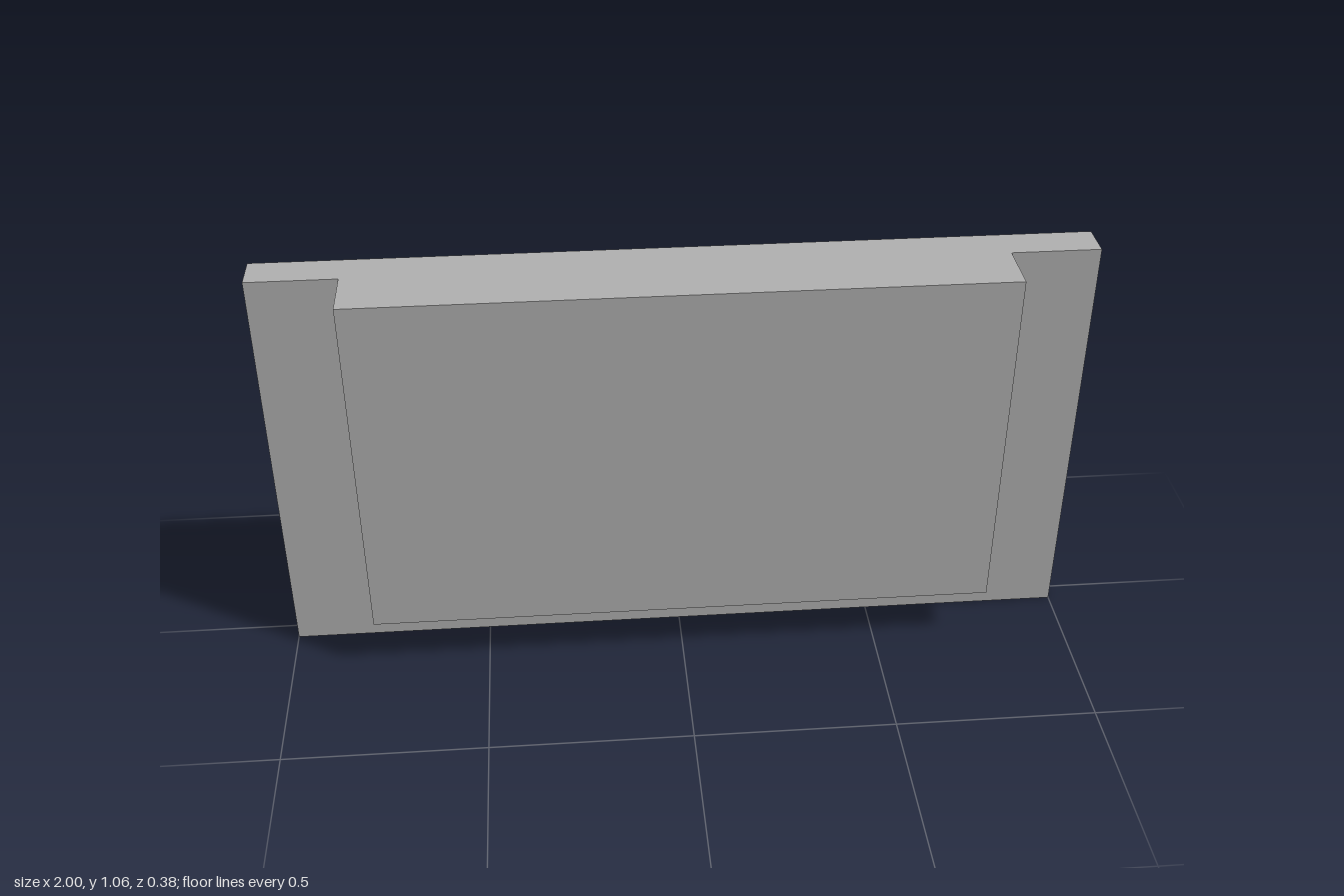
import * as THREE from 'three';

export function createModel() {
  const group = new THREE.Group();
  const grey = new THREE.MeshStandardMaterial({ color: 0xb2b2b2 });
  grey.name = 'plain grey';

  // Box spanning -halfWidth..halfWidth in x, y0..y1 and z0..z1
  const addSlab = (name, halfWidth, y0, y1, z0, z1) => {
    const mesh = new THREE.Mesh(new THREE.BoxGeometry(halfWidth * 2, y1 - y0, z1 - z0), grey);
    mesh.position.set(0, (y0 + y1) / 2, (z0 + z1) / 2);
    mesh.name = name;
    group.add(mesh);
  };

  // Wide upright board
  addSlab('backBoard', 1, 0, 1.055, -0.046, 0.047);
  // Raised block on the front, flush with the top edge
  addSlab('frontBlock', 0.783, 0.145, 1.055, 0.047, 0.188);
  // Small ledge at the foot of the back
  addSlab('rearFoot', 0.293, 0, 0.189, -0.188, -0.046);

  return group;
}
